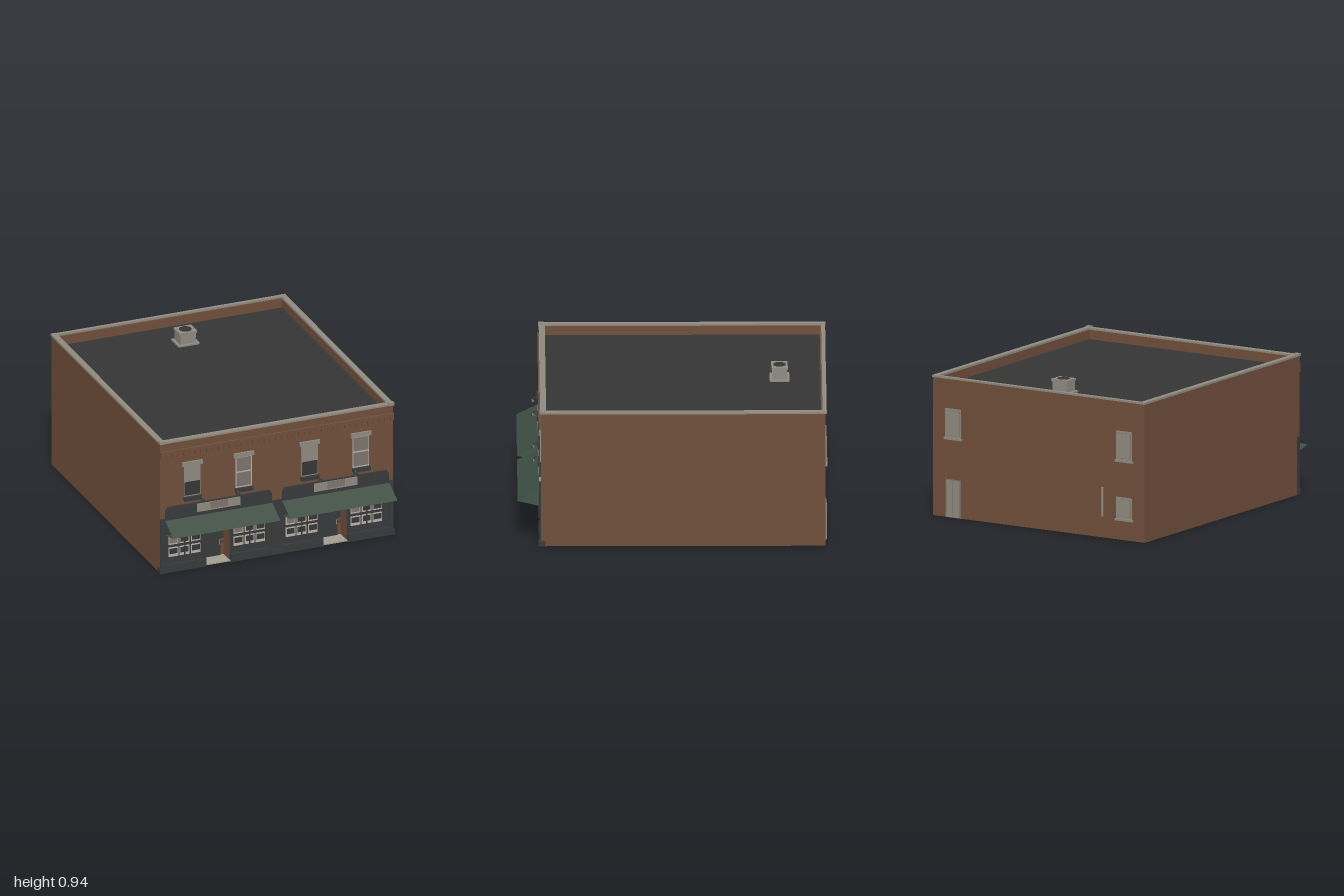
import * as THREE from 'three';

const mat = (name, color, side = THREE.FrontSide) => {
  const m = new THREE.MeshStandardMaterial({ color, side });
  m.name = name;
  return m;
};

export function createModel() {
  const brick = mat('brick', 0x6f4e3b);
  const charcoal = mat('charcoal roof', 0x353535);
  const paint = mat('storefront paint', 0x37393b);
  const stone = mat('stone', 0x8f8a80);
  const green = mat('awning green', 0x3d4d40, THREE.DoubleSide);
  const blind = mat('pale blind', 0xbab2a8);
  const taupe = mat('taupe shade', 0x7d736c);
  const concrete = mat('concrete', 0xa39d92);

  const model = new THREE.Group();
  model.name = 'shopBuilding';

  // Box given by its limits on each axis
  const box = (parent, name, m, x0, x1, y0, y1, z0, z1) => {
    const mesh = new THREE.Mesh(new THREE.BoxGeometry(x1 - x0, y1 - y0, z1 - z0), m);
    mesh.position.set((x0 + x1) / 2, (y0 + y1) / 2, (z0 + z1) / 2);
    mesh.name = name;
    parent.add(mesh);
    return mesh;
  };
  const group = (name, x = 0) => {
    const g = new THREE.Group();
    g.name = name;
    g.position.x = x;
    model.add(g);
    return g;
  };

  // Walls, roof and front floor slab; the rear underside stays open
  const W = 0.81, F = 0.85, B = -0.98, H = 0.908, T = 0.03;
  for (const s of [-1, 1]) {
    const a = s * W, b = s * (W - T);
    box(model, 'sideWall', brick, Math.min(a, b), Math.max(a, b), 0, H, B, F);
    const c = s * (W + 0.005), d = s * (W - T - 0.003);
    box(model, 'sideCoping', stone, Math.min(c, d), Math.max(c, d), H, 0.921, B - 0.008, F + 0.005);
    box(model, 'copingEnd', stone, Math.min(c, d), Math.max(c, d), H, 0.926, F - 0.025, F + 0.01);
  }
  box(model, 'backWall', brick, -W + T, W - T, 0, H, B, B + T);
  box(model, 'frontWall', brick, -W + T, W - T, 0.275, H, F - T, F);
  box(model, 'frontCoping', stone, -W + T, W - T, H, 0.92, F - T - 0.003, F + 0.006);
  box(model, 'backCoping', stone, -W + T, W - T, H, 0.92, B - 0.006, B + 0.02);
  box(model, 'roof', charcoal, -W + T, W - T, 0.835, 0.845, B + T, F - T);
  box(model, 'floorSlab', brick, -W + T, W - T, 0, 0.008, 0.03, F);

  // Brick cornice with a row of dentils
  box(model, 'corniceBand', brick, -W, W, 0.833, 0.855, F, F + 0.015);
  box(model, 'corniceTopBand', brick, -W, W, 0.895, H, F, F + 0.006);
  for (let i = 0; i < 41; i++) {
    const x = -0.8 + i * 0.04;
    box(model, 'dentil', brick, x - 0.01, x + 0.01, 0.803, 0.833, F, F + 0.012);
  }

  // Rooftop ventilator with a round fan
  const vent = group('roofVentilator');
  const vz = -0.688;
  box(vent, 'ventFlange', stone, -0.074, 0.074, 0.845, 0.856, vz - 0.063, vz + 0.063);
  box(vent, 'ventBody', stone, -0.055, 0.055, 0.856, 0.93, vz - 0.048, vz + 0.048);
  box(vent, 'ventCap', stone, -0.061, 0.061, 0.922, 0.938, vz - 0.053, vz + 0.053);
  const fan = new THREE.Mesh(new THREE.CylinderGeometry(0.04, 0.04, 0.004, 20), charcoal);
  fan.position.set(0, 0.939, vz);
  fan.name = 'ventFan';
  vent.add(fan);

  // Upper windows: half-lowered or closed blinds
  [[-0.588, 0], [-0.23, 1], [0.228, 0], [0.585, 1]].forEach(([x, closed]) => {
    const g = group('upperWindow', x);
    box(g, 'lintel', stone, -0.07, 0.07, 0.728, 0.757, F, F + 0.012);
    box(g, 'sill', paint, -0.061, 0.061, 0.485, 0.512, F, F + 0.022);
    box(g, 'sashFrame', closed ? blind : stone, -0.057, 0.057, 0.512, 0.728, F, F + 0.003);
    if (closed) {
      box(g, 'upperShade', taupe, -0.05, 0.05, 0.628, 0.722, F, F + 0.006);
      box(g, 'lowerShade', taupe, -0.05, 0.05, 0.522, 0.617, F, F + 0.006);
    } else {
      box(g, 'rolledBlind', stone, -0.054, 0.054, 0.615, 0.728, F, F + 0.006);
      box(g, 'darkPane', charcoal, -0.054, 0.054, 0.52, 0.615, F, F + 0.006);
    }
  });

  // Gooseneck sign lamps
  for (const x of [-0.533, -0.286, 0.286, 0.533]) {
    const g = group('signLamp', x);
    const path = new THREE.QuadraticBezierCurve3(
      new THREE.Vector3(0, 0.5, F), new THREE.Vector3(0, 0.525, 0.88), new THREE.Vector3(0, 0.498, 0.897));
    const arm = new THREE.Mesh(new THREE.TubeGeometry(path, 8, 0.004, 6), paint);
    arm.name = 'lampArm';
    const shade = new THREE.Mesh(new THREE.CylinderGeometry(0.005, 0.015, 0.018, 12), paint);
    shade.position.set(0, 0.492, 0.898);
    shade.rotation.x = 0.4;
    shade.name = 'lampShade';
    g.add(arm, shade);
  }

  // Awning from a folded cross-section: sloped top and returning underside
  const awningSheet = (x0, x1) => {
    const p = [[0.37, F + 0.01], [0.3, 1.0], [0.267, F + 0.012]];
    const v = [];
    for (let i = 0; i < 2; i++) {
      const [ya, za] = p[i], [yb, zb] = p[i + 1];
      v.push(x0, ya, za, x0, yb, zb, x1, yb, zb, x0, ya, za, x1, yb, zb, x1, ya, za);
    }
    const geo = new THREE.BufferGeometry();
    geo.setAttribute('position', new THREE.Float32BufferAttribute(v, 3));
    geo.computeVertexNormals();
    const mesh = new THREE.Mesh(geo, green);
    mesh.name = 'awning';
    return mesh;
  };

  // Two matching shopfronts
  const Z = F + 0.008, R = 0.75;
  for (const c of [-0.407, 0.407]) {
    const g = group('shopfront', c);
    g.add(awningSheet(-0.373, 0.373));

    // Sign board with clipped top corners
    const s = new THREE.Shape();
    [[-0.37, 0.27], [0.37, 0.27], [0.37, 0.435], [0.355, 0.46], [-0.355, 0.46], [-0.37, 0.435]]
      .forEach(([x, y], i) => (i ? s.lineTo(x, y) : s.moveTo(x, y)));
    const board = new THREE.Mesh(new THREE.ExtrudeGeometry(s, { depth: 0.012, bevelEnabled: false }), paint);
    board.position.z = F;
    board.name = 'signBoard';
    g.add(board);
    box(g, 'signPlate', stone, -0.152, 0.15, 0.395, 0.453, F + 0.01, F + 0.016);
    box(g, 'signPlateCentre', taupe, -0.06, 0.06, 0.405, 0.453, F + 0.01, F + 0.018);

    // Display bays with six panes each
    const bays = [[-0.373, -0.085, [-0.345, -0.269, -0.19]], [0.083, 0.373, [0.107, 0.184, 0.259]]];
    bays.forEach(([x0, x1, panes], bay) => {
      box(g, 'displayBay', paint, x0, x1, 0, 0.275, R, F);
      box(g, 'bulkhead', paint, x0, x1, 0, 0.055, F, Z + 0.006);
      box(g, 'bayHead', paint, x0, x1, 0.262, 0.275, F, Z);
      panes.forEach((x, i) => [0.105, 0.19].forEach((y, row) => {
        box(g, 'paneFrame', blind, x, x + 0.067, y, y + 0.065, F, F + 0.004);
        const inner = row && i === 0 ? taupe : charcoal;
        box(g, 'pane', inner, x + 0.007, x + 0.06, y + (row ? 0.01 : 0.02), y + 0.057, F, F + 0.006);
        if (i === 1) box(g, 'mullion', paint, x + 0.03, x + 0.037, y, y + 0.065, F, F + 0.009);
      }));
      // Brick reveal beside the recessed door
      const e = bay ? x0 : x1, d = bay ? -0.004 : 0.004;
      box(g, 'entryReveal', brick, Math.min(e, e + d), Math.max(e, e + d), 0, 0.275, R, F - 0.01);
    });

    // Recessed entry
    box(g, 'entryBackWall', brick, -0.085, 0.083, 0, 0.275, R - 0.02, R);
    box(g, 'entryFloor', concrete, -0.085, 0.083, 0.004, 0.012, R, F + 0.008);
    box(g, 'entryCeiling', brick, -0.085, 0.083, 0.262, 0.275, R, F);
    box(g, 'door', paint, -0.055, 0.055, 0.01, 0.245, R, R + 0.009);
    for (const x of [-0.066, 0.066]) {
      box(g, 'sidePost', paint, x - 0.009, x + 0.009, 0.13, 0.25, R, R + 0.006);
      box(g, 'sideRail', paint, x - 0.012, x + 0.012, 0.1, 0.107, R, R + 0.006);
    }
    box(g, 'doorHandle', stone, 0.043, 0.047, 0.09, 0.125, R, R + 0.016);
  }

  // Painted piers with plinths between and beside the shops
  for (const [x0, x1] of [[-W, -0.775], [-0.04, 0.04], [0.775, W]]) {
    box(model, 'pier', paint, x0, x1, 0, 0.38, F - T, Z);
    box(model, 'pierPlinth', paint, x0 - 0.007, x1 + 0.007, 0, 0.035, F - T, Z + 0.008);
  }

  // Rear windows, door and pipe
  const rearWindow = (x, y0, y1) => {
    const g = group('rearWindow', x);
    box(g, 'rearFrame', stone, -0.06, 0.06, y0, y1, B - 0.004, B);
    box(g, 'rearGlass', taupe, -0.048, 0.048, y0 + 0.012, y1 - 0.012, B - 0.006, B);
    box(g, 'rearBlind', stone, -0.046, 0.046, y0 + 0.014, y1 - 0.014, B - 0.008, B);
    box(g, 'rearSill', stone, -0.068, 0.068, y0 - 0.014, y0, B - 0.014, B);
  };
  rearWindow(0.655, 0.525, 0.715);
  rearWindow(-0.655, 0.525, 0.715);
  rearWindow(-0.655, 0.14, 0.28);
  const rearDoor = group('rearDoor', 0.655);
  box(rearDoor, 'rearDoorFrame', taupe, -0.058, 0.058, 0, 0.25, B - 0.004, B);
  for (const x of [-0.026, 0.026])
    box(rearDoor, 'rearDoorLeaf', stone, x - 0.023, x + 0.023, 0.004, 0.243, B - 0.008, B);
  const pipe = new THREE.Mesh(new THREE.CylinderGeometry(0.007, 0.007, 0.19, 10), stone);
  pipe.position.set(-0.49, 0.235, B - 0.007);
  pipe.name = 'rearPipe';
  model.add(pipe);

  return model;
}
